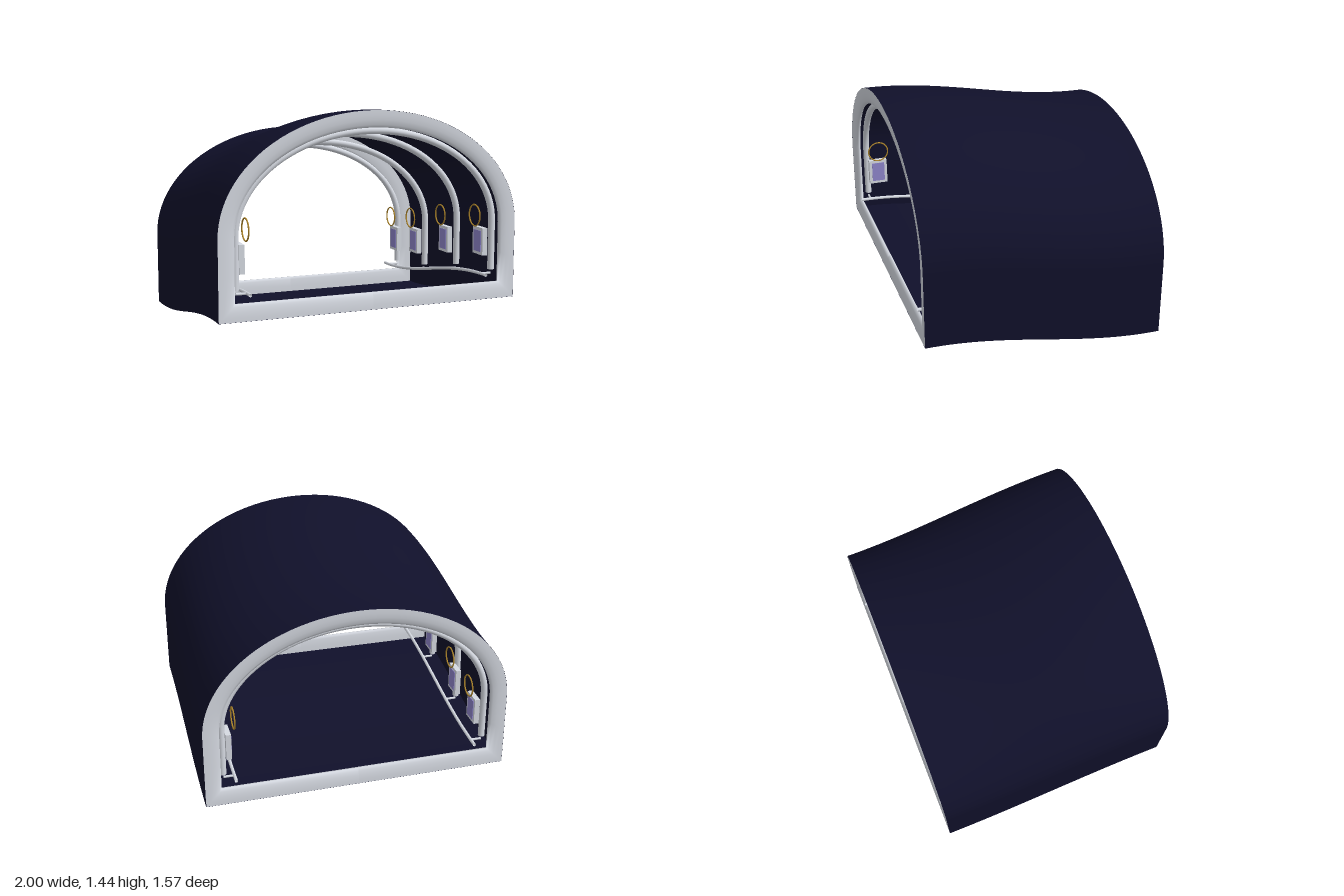
import * as THREE from 'three';

const END = 0.785, STRAIGHT = 0.5, RISE = 0.74;

// Floor height of the gently climbing tunnel at a given z
const rise = z => 0.1 + 0.1 * Math.sin((Math.PI / 2) * Math.max(-1, Math.min(1, z / END)));

// Arch outline inset by d, from the left wall at height y0 over the top to the right wall
function arch(d, y0) {
  const pts = [[1 - d, y0], [1 - d, (y0 + STRAIGHT) / 2]];
  for (let i = 0; i <= 48; i++) {
    const a = (Math.PI * i) / 48;
    pts.push([(1 - d) * Math.cos(a), STRAIGHT + (RISE - d) * Math.sin(a)]);
  }
  pts.push([d - 1, (y0 + STRAIGHT) / 2], [d - 1, y0]);
  return pts;
}

// Closed outline with a flat sill along the bottom
const ring = d => [[0, d], ...arch(d, d), [0, d]];

// Surface through rows of [x, y, z] points, following the slope of the floor
function loft(rows) {
  const pos = [], index = [], n = rows[0].length;
  rows.forEach(row => row.forEach(([x, y, z]) => pos.push(x, y + rise(z), z)));
  for (let r = 0; r < rows.length - 1; r++) {
    for (let i = 0; i < n - 1; i++) {
      const a = r * n + i, b = a + 1, c = a + n, d = c + 1;
      index.push(a, b, c, b, d, c);
    }
  }
  const g = new THREE.BufferGeometry();
  g.setAttribute('position', new THREE.Float32BufferAttribute(pos, 3));
  g.setIndex(index);
  g.computeVertexNormals();
  return g;
}

// Sweep a profile of [inset, z] pairs around an outline
const sweep = (profile, outline) =>
  loft(profile.map(([d, z]) => outline(d).map(([x, y]) => [x, y, z])));

export function createModel() {
  const material = (name, color, side = THREE.FrontSide) => {
    const m = new THREE.MeshStandardMaterial({ color, side });
    m.name = name;
    return m;
  };
  const navy = material('navy', 0x10102a, THREE.DoubleSide);
  const white = material('paleGrey', 0xd6dae2, THREE.DoubleSide);
  const lavender = material('lavender', 0x8f86cc);
  const gold = material('gold', 0xb48a2c);

  const model = new THREE.Group();
  model.name = 'tunnelSection';
  const add = (parent, name, geometry, mat, x = 0, y = 0, z = 0) => {
    const mesh = new THREE.Mesh(geometry, mat);
    mesh.name = name;
    mesh.position.set(x, y, z);
    parent.add(mesh);
    return mesh;
  };

  // Thin outer shell and floor
  const zs = Array.from({ length: 33 }, (_, i) => END - (2 * END * i) / 32);
  add(model, 'shell', sweep(zs.map(z => [0, z]), d => arch(d, 0)), navy);
  add(model, 'floor', loft(zs.map(z => [[-1, 0, z], [0, 0, z], [1, 0, z]])), navy);

  // Rounded frames closing the edge of both openings
  const lip = [[0.001, 0], [0.03, 0], [0.06, 0.003], [0.09, 0.009], [0.107, 0.02],
    [0.107, 0.032], [0.09, 0.042], [0.04, 0.045], [0.001, 0.045]];
  for (const s of [1, -1]) {
    const profile = lip.map(([d, dz]) => [d, s * (END - dz)]);
    if (s < 0) profile.reverse();
    add(model, s > 0 ? 'frontFrame' : 'backFrame', sweep(profile, ring), white);
  }

  // Arched ribs
  for (const z of [0.71, 0.24, -0.24, -0.71]) {
    const circle = Array.from({ length: 13 }, (_, i) => {
      const a = (i / 12) * Math.PI * 2;
      return [0.128 - 0.022 * Math.cos(a), z + 0.022 * Math.sin(a)];
    });
    add(model, 'rib', sweep(circle, d => arch(d, 0.18)), white);
  }

  // Fittings along both walls
  for (const s of [1, -1]) {
    const wall = new THREE.Group();
    wall.name = s > 0 ? 'leftFittings' : 'rightFittings';
    model.add(wall);

    // Handrail with brackets
    const path = new THREE.CatmullRomCurve3(
      zs.map(z => new THREE.Vector3(s * 0.8, rise(z) + 0.155, z * 0.99)));
    add(wall, 'handrail', new THREE.TubeGeometry(path, 48, 0.011, 8), white);
    for (const z of [0.71, 0.24, -0.24, -0.71]) {
      const bracket = add(wall, 'railBracket', new THREE.CylinderGeometry(0.008, 0.008, 0.07, 8),
        white, s * 0.835, rise(z) + 0.155, z);
      bracket.rotation.z = Math.PI / 2;
    }

    // Wall units with screens, each with a hanging ring in front
    for (const z of [0.64, 0.16, -0.31, -0.65]) {
      const y = rise(z);
      add(wall, 'wallUnit', new THREE.BoxGeometry(0.035, 0.18, 0.13), white, s * 0.828, y + 0.365, z);
      add(wall, 'screen', new THREE.BoxGeometry(0.006, 0.14, 0.09), lavender, s * 0.809, y + 0.365, z);
      const hoop = add(wall, 'hangingRing', new THREE.TorusGeometry(0.07, 0.005, 6, 32), gold,
        s * 0.785, y + 0.535, z);
      hoop.rotation.y = Math.PI / 2;
    }
  }
  return model;
}
